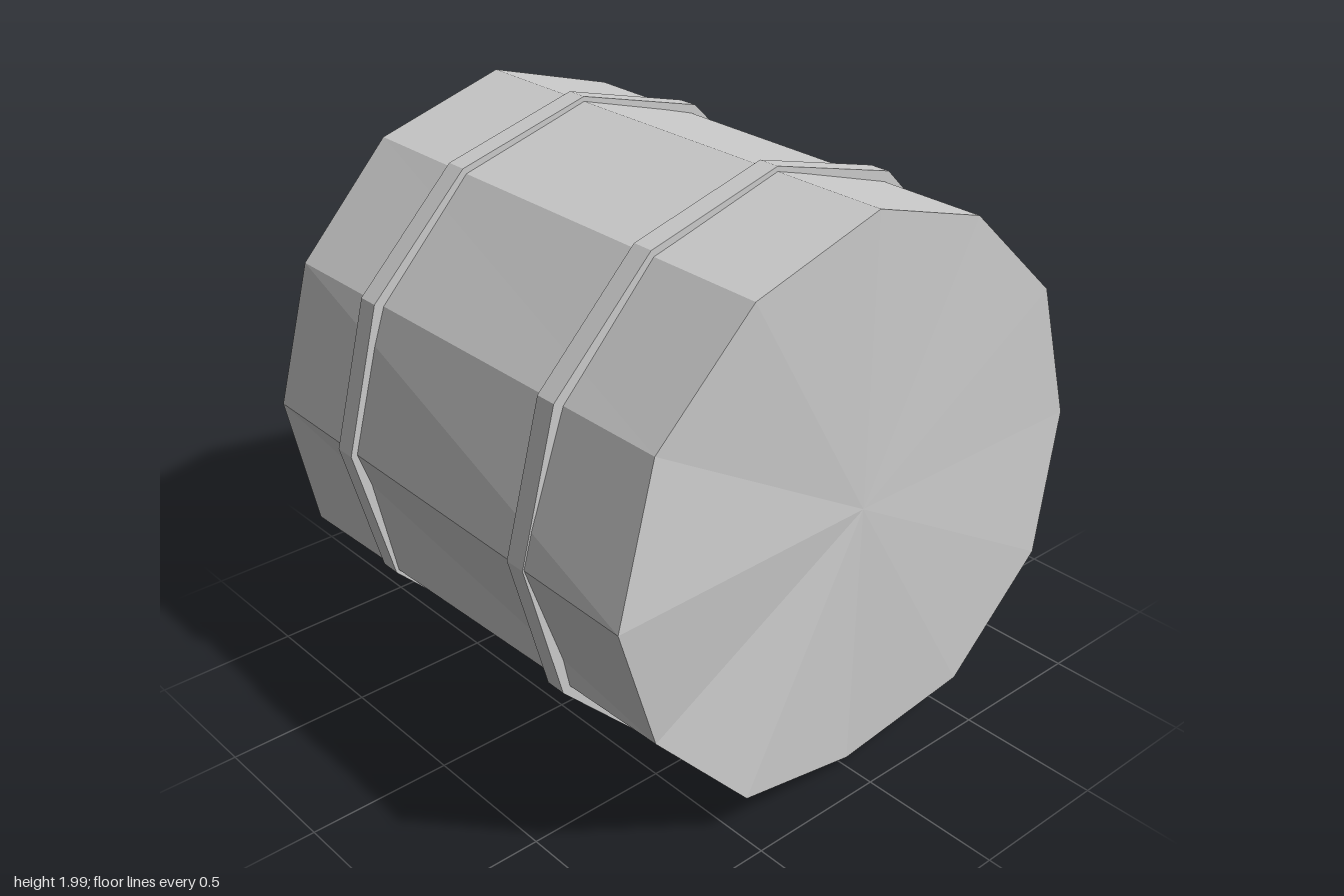
import * as THREE from 'three';

const grey = () => new THREE.MeshStandardMaterial({ color: 0xcccccc, flatShading: true });

// Slightly uneven twelve-sided end rings: [x, y, z], from the top round by the front
const leftRing = [
  [-0.91, 1.98, 0], [-0.90, 1.845, 0.485], [-0.895, 1.485, 0.83], [-0.90, 1, 0.965],
  [-0.91, 0.505, 0.862], [-0.93, 0.13, 0.5], [-0.92, 0.01, 0], [-0.925, 0.13, -0.5],
  [-0.905, 0.5, -0.865], [-0.89, 1, -0.965], [-0.90, 1.485, -0.84], [-0.90, 1.84, -0.48],
];
const rightRing = [
  [0.90, 1.98, 0], [0.905, 1.84, 0.49], [0.88, 1.48, 0.83], [0.92, 1, 1],
  [0.88, 0.52, 0.83], [0.92, 0.155, 0.49], [0.89, 0.04, 0], [0.92, 0.14, -0.5],
  [0.925, 0.5, -0.87], [0.90, 1, -0.98], [0.89, 1.49, -0.84], [0.875, 1.83, -0.48],
];

// Closed drum from two rings: side panels plus a fan over each end
function drumGeometry(left, right) {
  const pos = [];
  const n = left.length;
  const leftCentre = [-0.91, 1, 0], rightCentre = [0.90, 1, 0];
  for (let i = 0; i < n; i++) {
    const j = (i + 1) % n;
    pos.push(...left[i], ...left[j], ...right[j]);
    pos.push(...left[i], ...right[j], ...right[i]);
    pos.push(...rightCentre, ...right[i], ...right[j]);
    pos.push(...leftCentre, ...left[j], ...left[i]);
  }
  const g = new THREE.BufferGeometry();
  g.setAttribute('position', new THREE.Float32BufferAttribute(pos, 3));
  g.computeVertexNormals();
  return g;
}

export function createModel() {
  const model = new THREE.Group();
  model.name = 'barrel';

  const body = new THREE.Mesh(drumGeometry(leftRing, rightRing), grey());
  body.name = 'drumBody';
  model.add(body);

  // Two raised hoops
  for (const [name, x] of [['rightHoop', -0.46], ['leftHoop', 0.45]]) {
    const hoop = new THREE.Mesh(new THREE.CylinderGeometry(0.997, 0.997, 0.075, 12), grey());
    hoop.name = name;
    hoop.rotation.z = Math.PI / 2;
    hoop.position.set(x, 1, 0);
    model.add(hoop);
  }
  return model;
}
